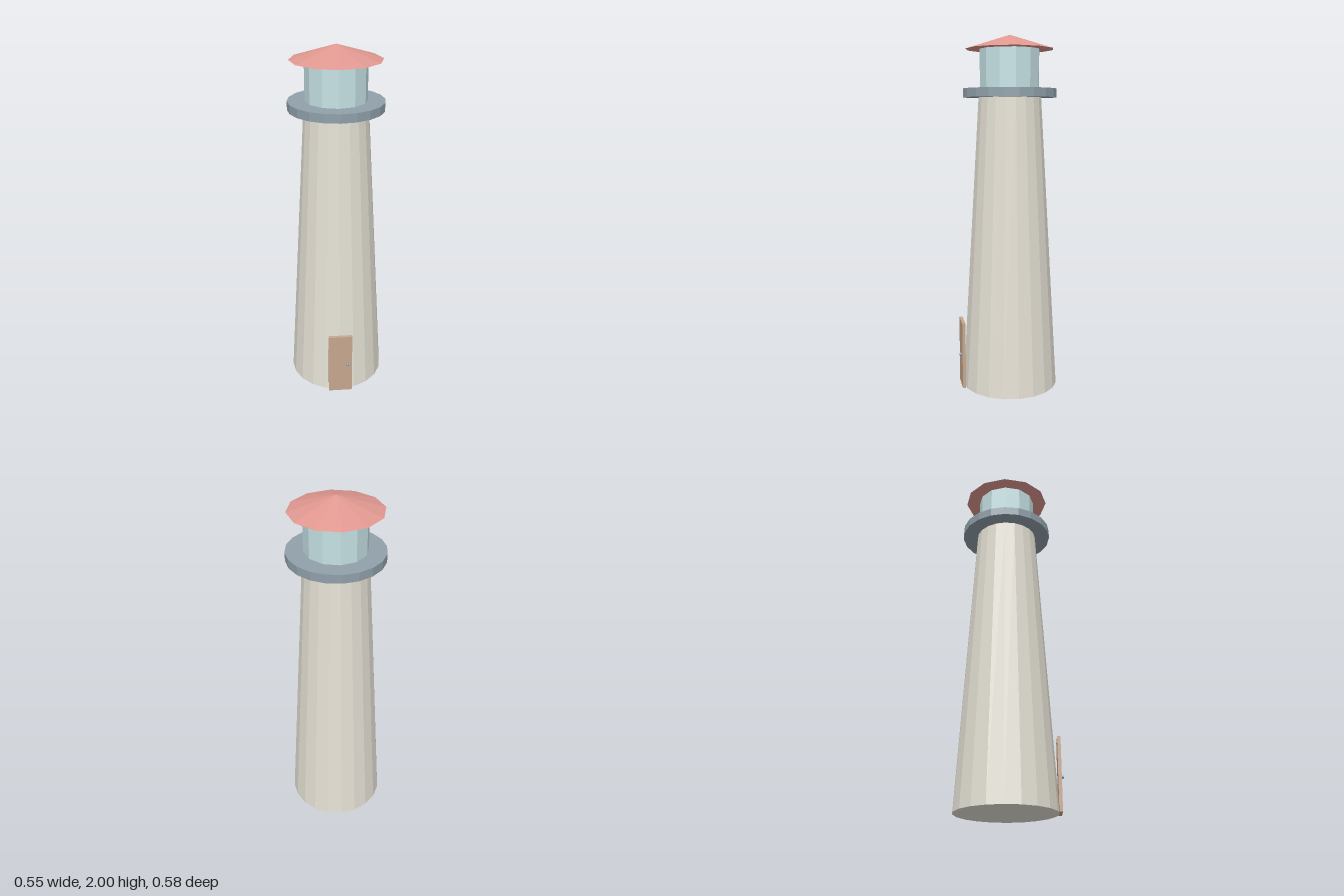
import * as THREE from 'three';

const material = (name, color) => {
  const m = new THREE.MeshStandardMaterial({ color, flatShading: true });
  m.name = name;
  return m;
};

export function createModel() {
  const stone = material('warm stone', 0xe4e0d4);
  const slate = material('slate blue', 0x90a0aa);
  const glass = material('pale glass', 0xc6e2e5);
  const red = material('soft red', 0xe09890);
  const wood = material('door wood', 0xc6a88e);

  const group = new THREE.Group();
  group.name = 'lighthouse';
  const add = (name, geometry, mat, x, y, z) => {
    const mesh = new THREE.Mesh(geometry, mat);
    mesh.name = name;
    mesh.position.set(x, y, z);
    group.add(mesh);
  };

  // Stacked round parts share one axis, set slightly back to leave room for the door
  const axisZ = -0.015;
  const drum = (name, topRadius, bottomRadius, y0, y1, sides, mat) =>
    add(name, new THREE.CylinderGeometry(topRadius, bottomRadius, y1 - y0, sides),
      mat, 0, (y0 + y1) / 2, axisZ);

  drum('tower', 0.176, 0.275, 0, 1.66, 20, stone);
  drum('gallery', 0.262, 0.262, 1.66, 1.708, 20, slate);
  drum('lanternRoom', 0.168, 0.168, 1.708, 1.922, 12, glass);
  drum('roof', 0, 0.248, 1.922, 2, 12, red);

  // Door standing against the foot of the tower, with its knob
  add('door', new THREE.BoxGeometry(0.138, 0.386, 0.018), wood, 0, 0.193, 0.264);
  add('doorKnob', new THREE.SphereGeometry(0.0095, 10, 8), slate, 0.041, 0.195, 0.28);

  return group;
}
